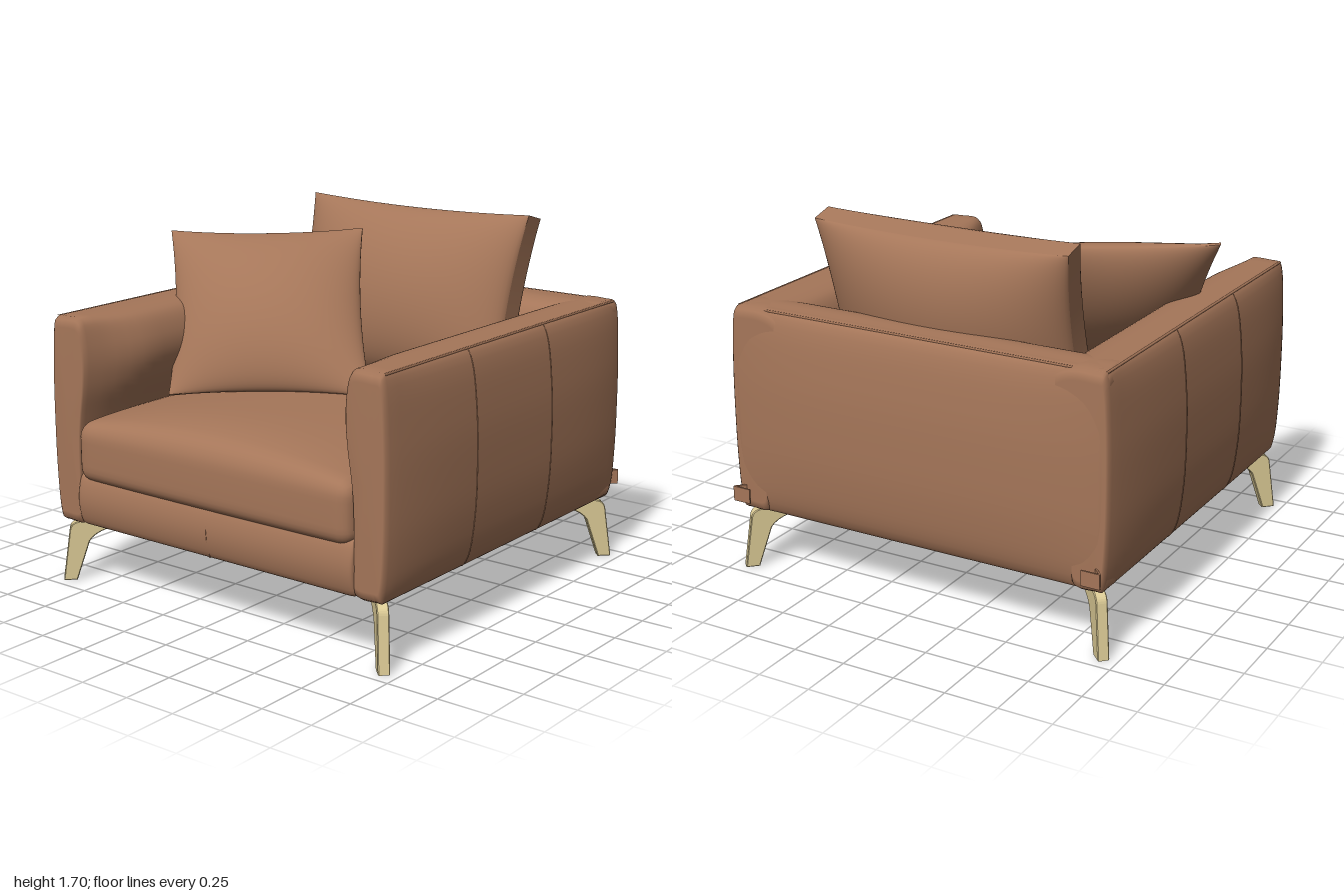
import * as THREE from 'three';
import { mergeVertices } from 'three/addons/utils/BufferGeometryUtils.js';

const leather = new THREE.MeshStandardMaterial({ color: 0xa57659 });
leather.name = 'brown leather';
const brass = new THREE.MeshStandardMaterial({ color: 0xdccb96 });
brass.name = 'pale brass';

const V = (x, y, z) => new THREE.Vector3(x, y, z);
const bell = (t, p) => Math.pow(Math.max(0, 1 - t * t), p);

function add(parent, name, geometry, material = leather) {
  const mesh = new THREE.Mesh(geometry, material);
  mesh.name = name;
  parent.add(mesh);
  return mesh;
}

// Move every vertex of a geometry by a rule
function warp(geometry, rule) {
  const pos = geometry.attributes.position;
  const p = V(0, 0, 0);
  for (let i = 0; i < pos.count; i++) {
    p.fromBufferAttribute(pos, i);
    rule(p);
    pos.setXYZ(i, p.x, p.y, p.z);
  }
  geometry.computeVertexNormals();
  return geometry;
}

// Finely divided soft block with rounded edges, then shaped by a rule
function softBlock(hx, hy, hz, r, rule) {
  let g = new THREE.BoxGeometry(2, 2, 2, 32, 16, 32);
  g.deleteAttribute('uv');
  g.deleteAttribute('normal');
  g = mergeVertices(g);
  const dense = (t) => Math.sin((t * Math.PI) / 2);
  return warp(g, (p) => {
    p.set(dense(p.x) * hx, dense(p.y) * hy, dense(p.z) * hz);
    const q = V(
      THREE.MathUtils.clamp(p.x, r - hx, hx - r),
      THREE.MathUtils.clamp(p.y, r - hy, hy - r),
      THREE.MathUtils.clamp(p.z, r - hz, hz - r)
    );
    p.sub(q).setLength(r).add(q);
    rule(p);
  });
}

// Stuffed cushion spanned by four corners, with a seam edge and pinched sides
function cushion(tl, tr, br, bl, edge, bulge, pinch, power) {
  const right = tr.clone().add(br).sub(tl).sub(bl);
  const up = tl.clone().add(tr).sub(bl).sub(br);
  const normal = right.cross(up).normalize();
  return warp(new THREE.BoxGeometry(2, 2, 2, 32, 32, 4), (p) => {
    const u = Math.sin((p.x * Math.PI) / 2);
    const v = Math.sin((p.y * Math.PI) / 2);
    const a = (1 + u * (1 - pinch * bell(v, 1))) / 2;
    const b = (1 + v * (1 - pinch * bell(u, 1))) / 2;
    const depth = p.z * (edge + bulge * bell(u, power) * bell(v, power));
    const top = tl.clone().lerp(tr, a);
    p.copy(bl.clone().lerp(br, a).lerp(top, b)).addScaledVector(normal, depth);
  });
}

// Cross-section of an arm, counter-clockwise from the outer foot
const section = new THREE.CatmullRomCurve3(
  [
    [0.92, 0.3], [0.955, 0.36], [0.985, 0.55], [0.992, 0.78], [0.985, 1.0], [0.955, 1.22],
    [0.925, 1.275], [0.88, 1.28], [0.78, 1.28], [0.7, 1.25], [0.65, 1.16], [0.64, 1.07],
    [0.67, 0.96], [0.74, 0.82], [0.78, 0.7], [0.79, 0.5], [0.79, 0.32], [0.81, 0.3], [0.9, 0.3],
  ].map(([x, y]) => V(x, y, 0)),
  true
).getPoints(95).slice(0, -1);

const SEAM = 0.925;
const outerBulge = (z) => 1 - 0.6 * Math.pow(Math.abs(z) / 0.96, 4);

// Loft the arm section along z with rounded ends; side = -1 mirrors it
function armLoft(z0, z1, taper, side) {
  const stations = [[z0, 1], [z0, 0.1], [z0 + 0.008, 0.03], [z0 + 0.03, 0]];
  for (let i = 1; i < 28; i++) stations.push([THREE.MathUtils.lerp(z0 + 0.03, z1 - 0.03, i / 28), 0]);
  stations.push([z1 - 0.03, 0], [z1 - 0.008, 0.03], [z1, 0.1], [z1, 1]);
  const n = section.length;
  const positions = [];
  const index = [];
  stations.forEach(([z, inset], i) => {
    const fade = taper ? 1 - 0.72 * Math.pow(THREE.MathUtils.smoothstep(z, 0.55, 1.0), 1.2) : 1;
    section.forEach((s, j) => {
      let x = s.x;
      if (x > SEAM) x = SEAM + (x - SEAM) * outerBulge(z);
      else if (x < 0.79) x = 0.79 - (0.79 - x) * fade;
      x = THREE.MathUtils.lerp(x, 0.85, inset);
      positions.push(side * x, THREE.MathUtils.lerp(s.y, 0.78, inset), z);
      if (i === stations.length - 1) return;
      const a = i * n + j, b = i * n + ((j + 1) % n), c = a + n, d = b + n;
      if (side > 0) index.push(a, b, c, b, d, c);
      else index.push(a, c, b, b, c, d);
    });
  });
  const g = new THREE.BufferGeometry();
  g.setAttribute('position', new THREE.Float32BufferAttribute(positions, 3));
  g.setIndex(index);
  g.computeVertexNormals();
  return g;
}

const seam = (points, r = 0.006) =>
  new THREE.TubeGeometry(new THREE.CatmullRomCurve3(points), 32, r, 6);

// Splayed leg profile: distance from the centre against height
function legGeometry() {
  const k = Math.SQRT2;
  const s = new THREE.Shape();
  s.moveTo(0.9 * k, 0);
  s.lineTo(0.94 * k, 0);
  s.lineTo(0.915 * k, 0.245);
  s.quadraticCurveTo(0.91 * k, 0.285, 0.87 * k, 0.285);
  s.lineTo(0.69 * k, 0.285);
  s.lineTo(0.69 * k, 0.27);
  s.quadraticCurveTo(0.82 * k, 0.265, 0.855 * k, 0.19);
  s.closePath();
  const g = new THREE.ExtrudeGeometry(s, { depth: 0.044, bevelSize: 0.004, bevelThickness: 0.004, bevelSegments: 1, curveSegments: 8 });
  return g.translate(0, 0, -0.022);
}

export function createModel() {
  const chair = new THREE.Group();
  chair.name = 'armchair';

  // Base rail under the seat, swelling slightly at the front
  add(chair, 'seatBase', softBlock(0.8, 0.13, 0.93, 0.03, (p) => {
    if (p.z > 0) p.z += 0.03 * bell(p.y / 0.13, 1);
    p.y += 0.43;
    p.z += 0.02;
  }));
  add(chair, 'baseSeam', seam([V(0, 0.31, 0.955), V(0, 0.43, 0.979), V(0, 0.54, 0.955)], 0.003));

  // Crowned seat cushion
  add(chair, 'seatCushion', softBlock(0.79, 0.14, 0.83, 0.07, (p) => {
    const crown = bell(p.x / 0.79, 0.8) * (1 - Math.pow(Math.abs(p.z) / 0.84, 6));
    if (p.y > 0) p.y += (0.08 * crown + 0.02 * bell(p.x / 0.79, 1)) * (p.y / 0.14);
    if (p.z > 0) p.z += 0.015 * bell(p.x / 0.79, 0.5) * bell(p.y / 0.25, 1);
    p.y += 0.66;
    p.z += 0.155;
  }));

  // Arms with piping and stitched side panels
  for (const side of [1, -1]) {
    const arm = new THREE.Group();
    arm.name = side > 0 ? 'leftArm' : 'rightArm';
    add(arm, 'armBody', armLoft(-0.955, 0.958, true, side));
    add(arm, 'topPiping', seam([V(side * SEAM, 1.273, -0.92), V(side * SEAM, 1.274, 0), V(side * SEAM, 1.273, 0.93)]));
    add(arm, 'frontPiping', seam([V(side * 0.92, 1.26, 0.94), V(side * 0.935, 0.8, 0.948), V(side * 0.915, 0.32, 0.94)]));
    for (const z of [0.34, -0.27]) {
      const path = section.slice(0, 30).map((s) => V(side * (s.x > SEAM ? SEAM + (s.x - SEAM) * outerBulge(z) : s.x), s.y, z));
      add(arm, 'sideSeam', seam(path, 0.003));
    }
    chair.add(arm);
  }

  // Backrest shell
  const back = new THREE.Group();
  back.name = 'backrest';
  add(back, 'backBody', armLoft(-0.94, 0.94, false, 1).rotateY(Math.PI / 2));
  add(back, 'backPiping', seam([V(-0.91, 1.273, -SEAM), V(0, 1.274, -SEAM), V(0.91, 1.273, -SEAM)]));
  chair.add(back);

  // Leaning back cushion
  add(chair, 'backCushion', cushion(
    V(-0.635, 1.68, -0.66), V(0.635, 1.68, -0.66), V(0.62, 0.85, -0.43), V(-0.62, 0.85, -0.43),
    0.055, 0.19, 0.045, 0.6
  ));

  // Loose pillow resting against the right arm
  add(chair, 'throwPillow', cushion(
    V(-0.95, 1.56, 0.13), V(-0.18, 1.58, -0.4), V(0.23, 0.9, 0.08), V(-0.63, 0.86, 0.52),
    0.006, 0.16, 0.06, 0.65
  ));

  // Legs on small mounting pads, and the strap tabs at the rear corners
  const leg = legGeometry();
  for (const x of [1, -1]) {
    for (const z of [1, -1]) {
      const group = new THREE.Group();
      group.name = (z > 0 ? 'front' : 'back') + (x > 0 ? 'LeftLeg' : 'RightLeg');
      group.rotation.y = Math.atan2(-z, x);
      add(group, 'leg', leg, brass);
      add(group, 'legPad', new THREE.BoxGeometry(0.26, 0.02, 0.06)).position.set(1.1, 0.295, 0);
      chair.add(group);
    }
    const tab = new THREE.Group();
    tab.name = x > 0 ? 'leftStrapTab' : 'rightStrapTab';
    add(tab, 'tabFace', new THREE.BoxGeometry(0.09, 0.07, 0.008)).position.set(x * 0.9, 0.385, -0.994);
    const fold = add(tab, 'tabFold', new THREE.BoxGeometry(0.06, 0.07, 0.008));
    fold.position.set(x * 0.925, 0.385, -0.973);
    fold.rotation.y = x * 0.8;
    chair.add(tab);
  }
  return chair;
}
